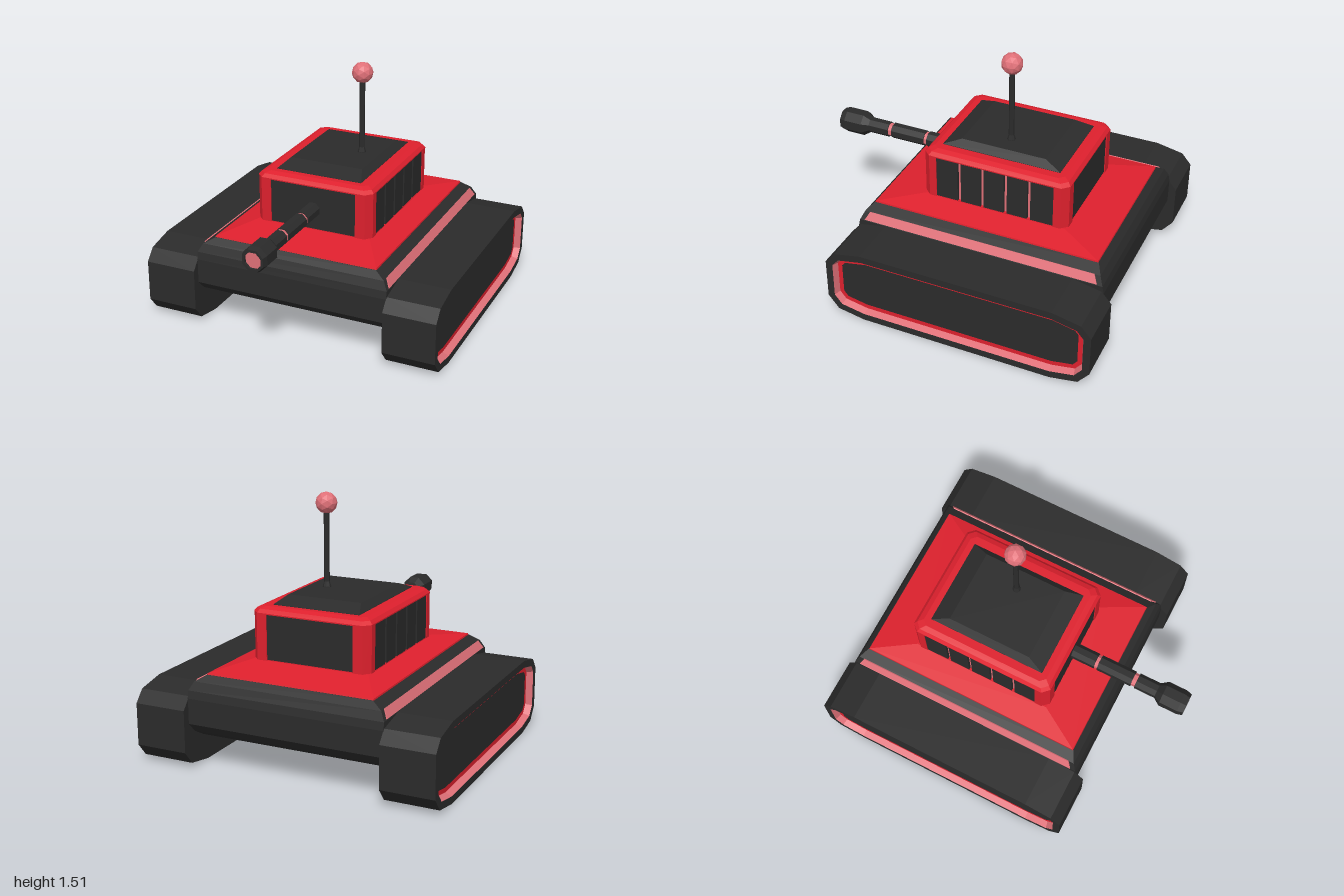
import * as THREE from 'three';

const CZ = -0.185; // centre line of the vehicle body in z

const dark = new THREE.MeshStandardMaterial({ color: 0x2b2b2b });
dark.name = 'dark armour';
const red = new THREE.MeshStandardMaterial({ color: 0xde202d });
red.name = 'red paint';
const pink = new THREE.MeshStandardMaterial({ color: 0xe07078 });
pink.name = 'pink trim';

// Faceted mesh with one flat normal per face
function part(parent, name, geometry, material, x = 0, y = 0, z = 0) {
  const g = geometry.index ? geometry.toNonIndexed() : geometry;
  g.computeVertexNormals();
  const mesh = new THREE.Mesh(g, material);
  mesh.name = name;
  mesh.position.set(x, y, z);
  parent.add(mesh);
  return mesh;
}

// Skin over rings of points, which run counter-clockwise seen from the last ring's side
function loft(rings, capStart = true, capEnd = true) {
  const pos = [];
  const tri = (a, b, c) => pos.push(...a, ...b, ...c);
  const n = rings[0].length;
  for (let i = 0; i < rings.length - 1; i++) {
    for (let j = 0; j < n; j++) {
      const k = (j + 1) % n;
      tri(rings[i][j], rings[i][k], rings[i + 1][k]);
      tri(rings[i][j], rings[i + 1][k], rings[i + 1][j]);
    }
  }
  const first = rings[0], last = rings[rings.length - 1];
  for (let j = 1; j < n - 1; j++) {
    if (capStart) tri(first[0], first[j + 1], first[j]);
    if (capEnd) tri(last[0], last[j], last[j + 1]);
  }
  const g = new THREE.BufferGeometry();
  g.setAttribute('position', new THREE.Float32BufferAttribute(pos, 3));
  return g;
}

// Horizontal rectangle, with chamfered corners when c > 0
function rect([y, hx, hz, c = 0]) {
  if (!c) return [[hx, y, hz], [hx, y, -hz], [-hx, y, -hz], [-hx, y, hz]];
  return [[hx, y, c - hz], [hx - c, y, -hz], [c - hx, y, -hz], [-hx, y, c - hz],
    [-hx, y, hz - c], [c - hx, y, hz], [hx - c, y, hz], [hx, y, hz - c]];
}

// Track outline (length, height), inset by d and placed at x
const half = [[0.585, 0], [0.75, 0.03], [0.815, 0.11], [0.815, 0.36], [0.755, 0.43], [0.585, 0.465]];
const outline = [...half, ...half.map(([u, v]) => [-u, v]).reverse()];
function trackRing(x, d = 0) {
  const n = outline.length;
  const normal = (a, b) => {
    const l = Math.hypot(b[0] - a[0], b[1] - a[1]);
    return [(b[1] - a[1]) / l, (a[0] - b[0]) / l];
  };
  return outline.map((p, i) => {
    const m = normal(outline[(i + n - 1) % n], p), q = normal(p, outline[(i + 1) % n]);
    const s = d / (1 + m[0] * q[0] + m[1] * q[1]);
    return [x, p[1] - s * (m[1] + q[1]), -(p[0] - s * (m[0] + q[0]))];
  });
}

// Track with a recessed side: steep pink lip, flat red band, dark panel
function buildTrack(name) {
  const track = new THREE.Group();
  track.name = name;
  part(track, 'trackBody', loft([trackRing(0.598), trackRing(0.915), trackRing(0.915, 0.043)], true, false), dark);
  part(track, 'trackPinkTrim', loft([trackRing(0.915, 0.043), trackRing(0.876, 0.058)], false, false), pink);
  part(track, 'trackRedTrim', loft([trackRing(0.876, 0.058), trackRing(0.876, 0.085)], false, false), red);
  part(track, 'trackSidePanel', loft([trackRing(0.876, 0.085), trackRing(0.876, 0.12)], false, true), dark);
  return track;
}

function buildHull() {
  const hull = new THREE.Group();
  hull.name = 'hull';
  const levels = [[0.1, 0.6, 0.35], [0.12, 0.6, 0.5], [0.16, 0.6, 0.62], [0.21, 0.6, 0.71], [0.27, 0.6, 0.768],
    [0.42, 0.6, 0.768], [0.465, 0.6, 0.758], [0.515, 0.573, 0.735], [0.552, 0.51, 0.7]];
  part(hull, 'hullBody', loft(levels.map(rect)), dark);
  part(hull, 'deckPlate', loft([[0.545, 0.513, 0.7], [0.56, 0.51, 0.695], [0.597, 0.36, 0.44]].map(rect)), red);
  // Trim strips on the sloping shoulders
  const strip = [[0.598, 0.47, 0.725], [0.598, 0.47, -0.725], [0.572, 0.517, -0.7], [0.572, 0.517, 0.7]];
  for (const s of [1, -1]) {
    const at = (d) => {
      const ring = strip.map(([x, y, z]) => [s * (x + d), y + d * 0.5, z]);
      return s > 0 ? ring : ring.reverse();
    };
    part(hull, 'shoulderStrip', loft([at(-0.001), at(0.005)]), pink);
  }
  return hull;
}

function buildTurret() {
  const turret = new THREE.Group();
  turret.name = 'turret';
  part(turret, 'turretCore', new THREE.BoxGeometry(0.69, 0.29, 0.85), pink, 0, 0.725, 0);
  // Corner posts
  const corner = [[0.366, 0.365], [0.27, 0.365], [0.27, 0.45], [0.33, 0.45], [0.366, 0.41]];
  for (const sx of [1, -1]) {
    for (const sz of [1, -1]) {
      const pts = corner.map(([x, z]) => [sx * x, sz * z]);
      if (sx * sz < 0) pts.reverse();
      const at = (y) => pts.map(([x, z]) => [x, y, z]);
      part(turret, 'cornerPost', loft([at(0.58), at(0.87)]), red);
    }
  }
  part(turret, 'turretBase', loft([[0.58, 0.363, 0.445, 0.04], [0.6, 0.363, 0.445, 0.04]].map(rect)), red);
  part(turret, 'turretRoof', loft([[0.865, 0.368, 0.451, 0.04], [0.872, 0.368, 0.451, 0.04],
    [0.892, 0.351, 0.434, 0.035], [0.904, 0.32, 0.403, 0.03]].map(rect)), red);
  part(turret, 'roofHatch', loft([[0.89, 0.27, 0.365], [0.906, 0.27, 0.365], [0.945, 0.23, 0.26]].map(rect)), dark);
  // Front and rear panels, and slatted side panels
  const edges = [0.365, 0.22, 0.075, -0.07, -0.215, -0.365];
  for (const s of [1, -1]) {
    part(turret, s > 0 ? 'frontPanel' : 'rearPanel', new THREE.BoxGeometry(0.54, 0.27, 0.03), dark, 0, 0.731, s * 0.429);
    for (let i = 0; i < 5; i++) {
      const a = edges[i] - (i > 0 ? 0.01 : 0), b = edges[i + 1] + (i < 4 ? 0.01 : 0);
      part(turret, 'sidePanel', new THREE.BoxGeometry(0.03, 0.27, a - b), dark, s * 0.347, 0.731, (a + b) / 2);
    }
  }
  return turret;
}

// Octagonal turned piece from (radius, height) points
function turned(points) {
  return new THREE.LatheGeometry(points.map(([r, h]) => new THREE.Vector2(r, h)), 8, Math.PI / 8);
}

function buildGun() {
  const gun = new THREE.Group();
  gun.name = 'gun';
  gun.position.y = 0.72;
  gun.rotation.x = Math.PI / 2;
  const tubes = [[0.2, 0.41, 0.048, dark], [0.405, 0.435, 0.041, pink], [0.43, 0.652, 0.048, dark],
    [0.647, 0.682, 0.041, pink], [0.677, 0.83, 0.048, dark]];
  for (const [a, b, r, m] of tubes) {
    part(gun, m === pink ? 'barrelRing' : 'barrelSection', turned([[0, a], [r, a], [r, b], [0, b]]), m);
  }
  part(gun, 'muzzle', turned([[0.045, 0.805], [0.077, 0.85], [0.077, 0.965], [0.068, 1], [0.052, 1], [0.052, 0.985]]), dark);
  part(gun, 'muzzleBore', turned([[0.053, 0.985], [0, 0.985]]), pink);
  return gun;
}

function buildAntenna() {
  const antenna = new THREE.Group();
  antenna.name = 'antenna';
  antenna.position.set(0.115, 0, CZ);
  part(antenna, 'antennaRod', turned([[0.026, 0.94], [0.025, 0.95], [0.0165, 0.978], [0.0165, 1.4]]), dark);
  part(antenna, 'antennaBall', new THREE.IcosahedronGeometry(0.064, 1), pink, 0, 1.442, 0);
  return antenna;
}

export function createModel() {
  const model = new THREE.Group();
  model.name = 'tank';
  const left = buildTrack('leftTrack');
  const right = buildTrack('rightTrack');
  right.rotation.y = Math.PI;
  for (const group of [left, right, buildHull(), buildTurret()]) {
    group.position.z = CZ;
    model.add(group);
  }
  model.add(buildGun(), buildAntenna());
  return model;
}
